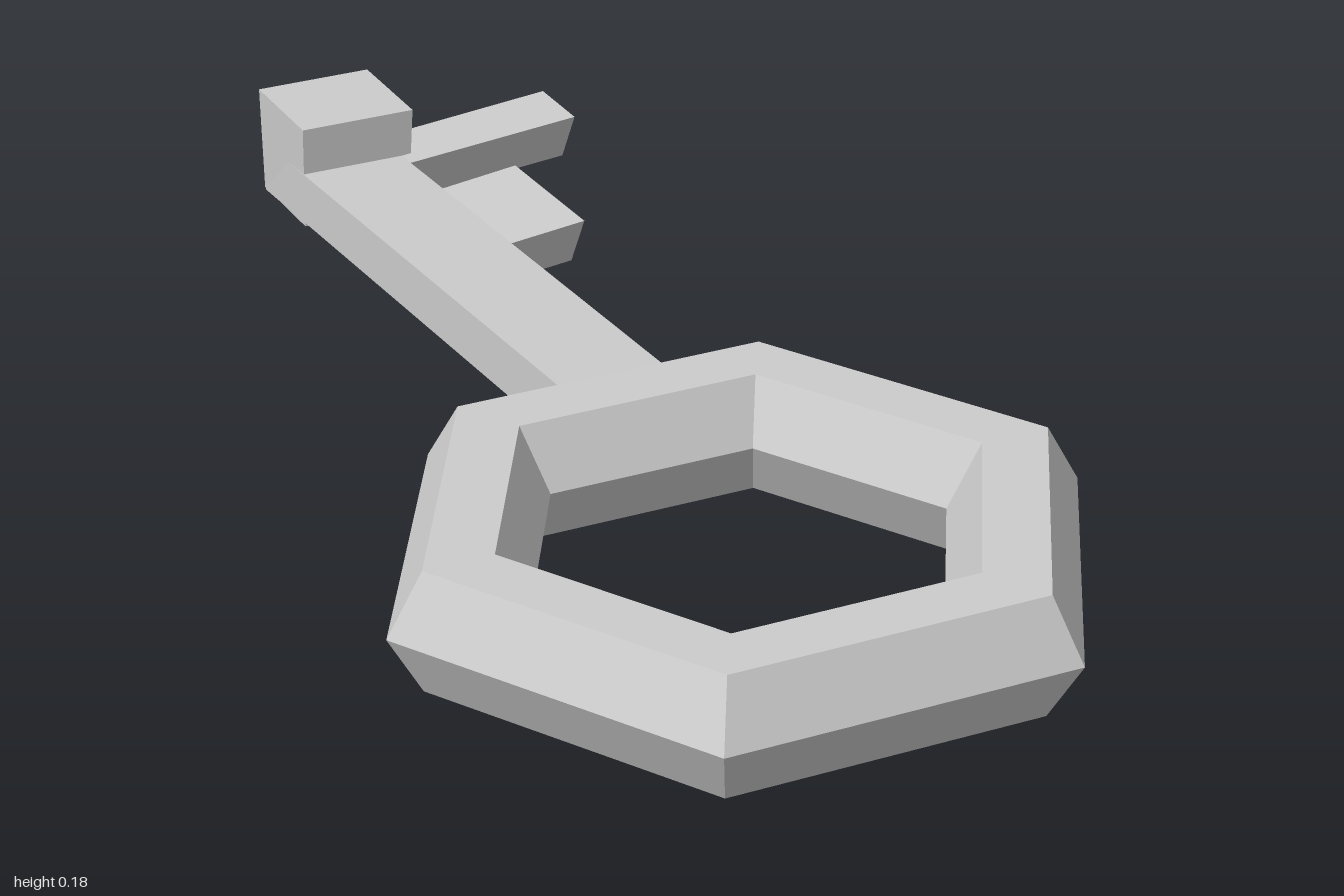
import * as THREE from 'three';

// Solid from four top corners (front-left, front-right, back-right, back-left)
// and four matching bottom corners, with hard edges
function prism(top, bottom) {
  const pos = [];
  const quad = (a, b, c, d) => [a, b, c, a, c, d].forEach((p) => pos.push(...p));
  quad(...top);
  quad(...[...bottom].reverse());
  for (let i = 0; i < 4; i++) {
    const j = (i + 1) % 4;
    quad(top[i], bottom[i], bottom[j], top[j]);
  }
  const geo = new THREE.BufferGeometry();
  geo.setAttribute('position', new THREE.Float32BufferAttribute(pos, 3));
  geo.computeVertexNormals();
  return geo;
}

// The blade slopes down toward the tip, and its ends lean backward
const bladeY = (z) => 0.18 - 0.076 * (0.14 - z);
const edgeX = (z) => 0.08 + 0.024 * (0.14 - z);
const leaning = (top) => prism(top, top.map(([x, y, z]) => [x, y - 0.085, z - 0.045]));

export function createModel() {
  const model = new THREE.Group();
  const metal = new THREE.MeshStandardMaterial({ color: 0xcccccc });
  metal.name = 'grey metal';

  const add = (name, geometry) => {
    const mesh = new THREE.Mesh(geometry, metal);
    mesh.name = name;
    model.add(mesh);
  };

  // Hexagonal ring with a hexagonal cross-section
  const ring = new THREE.TorusGeometry(0.417, 0.104, 6, 6)
    .rotateX(Math.PI / 2)
    .translate(0, 0.09, 0.545)
    .toNonIndexed();
  ring.computeVertexNormals();
  add('bow', ring);

  // Long shaft leaving the back face of the ring
  const z0 = 0.14, z1 = -0.945;
  add('shaft', leaning([
    [-0.082, bladeY(z0), z0], [edgeX(z0), bladeY(z0), z0],
    [edgeX(z1), bladeY(z1), z1], [-0.063, bladeY(z1), z1],
  ]));

  // Teeth on the left edge, rising slightly outward
  const tooth = (name, front, back, xFront, xBack, rise) => add(name, leaning([
    [edgeX(front), bladeY(front), front],
    [xFront, bladeY(front) + rise, front + 0.002],
    [xBack, bladeY(back) + rise, back - 0.002],
    [edgeX(back), bladeY(back), back],
  ]));
  tooth('shortTooth', -0.388, -0.655, 0.213, 0.224, 0.014);
  tooth('longTooth', -0.785, -0.918, 0.387, 0.396, 0.026);

  // Raised block at the tip
  add('tipBlock', prism(
    [[-0.065, 0.183, -0.82], [0.122, 0.183, -0.82], [0.122, 0.183, -1], [-0.065, 0.183, -1]],
    [[-0.063, 0.016, -0.825], [0.115, 0.016, -0.825], [0.115, 0.016, -0.992], [-0.063, 0.016, -0.992]],
  ));

  return model;
}
